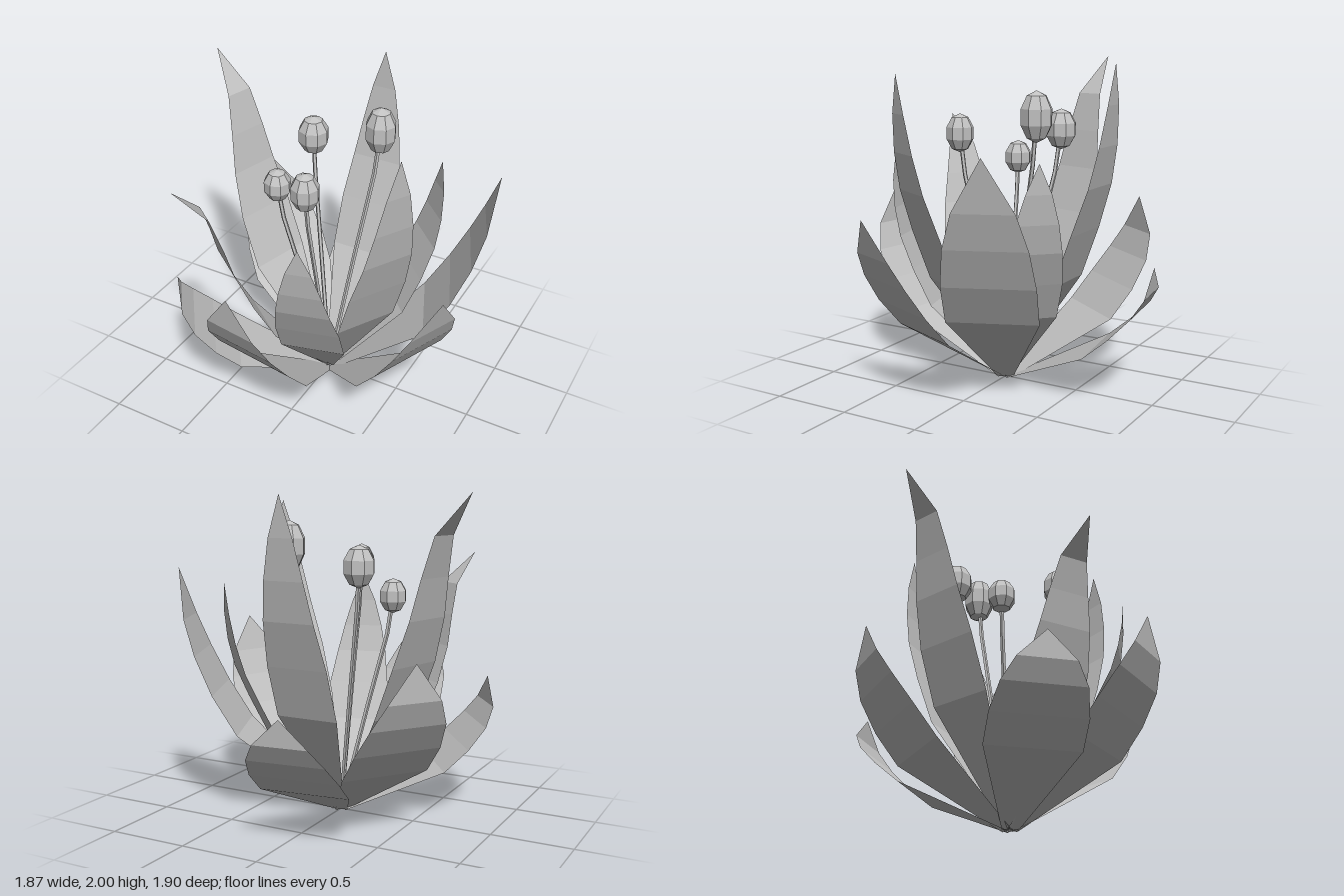
import * as THREE from 'three';

// Petal profiles: [radius, height fraction, half width] from base to tip
const OUTER = [[0.02, 0, 0.05], [0.6, 0.345, 0.278], [0.75, 0.505, 0.277], [0.87, 0.66, 0.24], [0.938, 0.8, 0.168], [0.95, 1, 0]];
const WIDE = [[0.02, 0, 0.05], [0.61, 0.345, 0.272], [0.76, 0.505, 0.27], [0.87, 0.66, 0.238], [0.945, 0.8, 0.175], [1.01, 1, 0]];
const UPRIGHT = [[0.01, 0, 0.03], [0.43, 0.34, 0.2], [0.545, 0.5, 0.197], [0.637, 0.64, 0.165], [0.685, 0.76, 0.128], [0.712, 0.88, 0.078], [0.722, 1, 0]];
const FLARED = [[0.01, 0, 0.03], [0.45, 0.34, 0.203], [0.58, 0.5, 0.2], [0.67, 0.64, 0.165], [0.72, 0.76, 0.128], [0.78, 0.88, 0.088], [0.965, 1, 0]];

// A folded strip, straight across its width, ending in a point
function petalGeometry(profile, height) {
  const positions = [], index = [];
  profile.forEach(([r, f, w], i) => {
    positions.push(-w, f * height, r, w, f * height, r);
    if (i === 0) return;
    const a = 2 * (i - 1);
    index.push(a, a + 2, a + 1);
    if (w > 0) index.push(a + 1, a + 2, a + 3);
  });
  const g = new THREE.BufferGeometry();
  g.setAttribute('position', new THREE.Float32BufferAttribute(positions, 3));
  g.setIndex(index);
  g.computeVertexNormals();
  return g;
}

export function createModel() {
  const grey = new THREE.MeshStandardMaterial({ color: 0xc2c2c2 });
  grey.name = 'grey';
  grey.flatShading = true;
  grey.side = THREE.DoubleSide;

  const model = new THREE.Group();
  model.name = 'flower';

  // Petals: angle in degrees round from the front towards +x, and height
  const addPetals = (name, list) => list.forEach(([angle, height, profile]) => {
    const mesh = new THREE.Mesh(petalGeometry(profile, height), grey);
    mesh.name = name;
    mesh.rotation.y = THREE.MathUtils.degToRad(angle);
    model.add(mesh);
  });
  addPetals('outerPetal', [
    [-8, 1.13, OUTER], [67, 1.13, WIDE], [113, 1.53, WIDE],
    [187, 0.8, OUTER], [233, 1.1, OUTER], [307, 0.83, OUTER],
  ]);
  addPetals('innerPetal', [
    [15, 1.42, UPRIGHT], [60, 1.93, UPRIGHT], [135, 1.46, UPRIGHT],
    [180, 1.99, UPRIGHT], [255, 2, FLARED], [323, 1.6, FLARED],
  ]);

  // Stamens: head centre, head radius, head half height
  const stamens = [
    [-0.31, 1.37, 0.09, 0.088, 0.106],
    [-0.25, 1.57, -0.25, 0.1, 0.126],
    [0.02, 1.54, 0.32, 0.09, 0.122],
    [0.18, 1.68, -0.31, 0.1, 0.152],
  ];
  for (const [x, y, z, r, h] of stamens) {
    const at = (s, t) => new THREE.Vector3(x * s, y * t, z * s);
    const path = new THREE.CatmullRomCurve3([at(0, 0), at(0.58, 0.55), at(0.92, 0.86), at(1, 1)]);
    const stem = new THREE.Mesh(new THREE.TubeGeometry(path, 6, 0.014, 5), grey);
    stem.name = 'stamenStem';

    const head = new THREE.Mesh(new THREE.SphereGeometry(1, 8, 5), grey);
    head.name = 'stamenHead';
    head.scale.set(r, h, r);
    head.position.set(x, y, z);
    model.add(stem, head);
  }
  return model;
}
